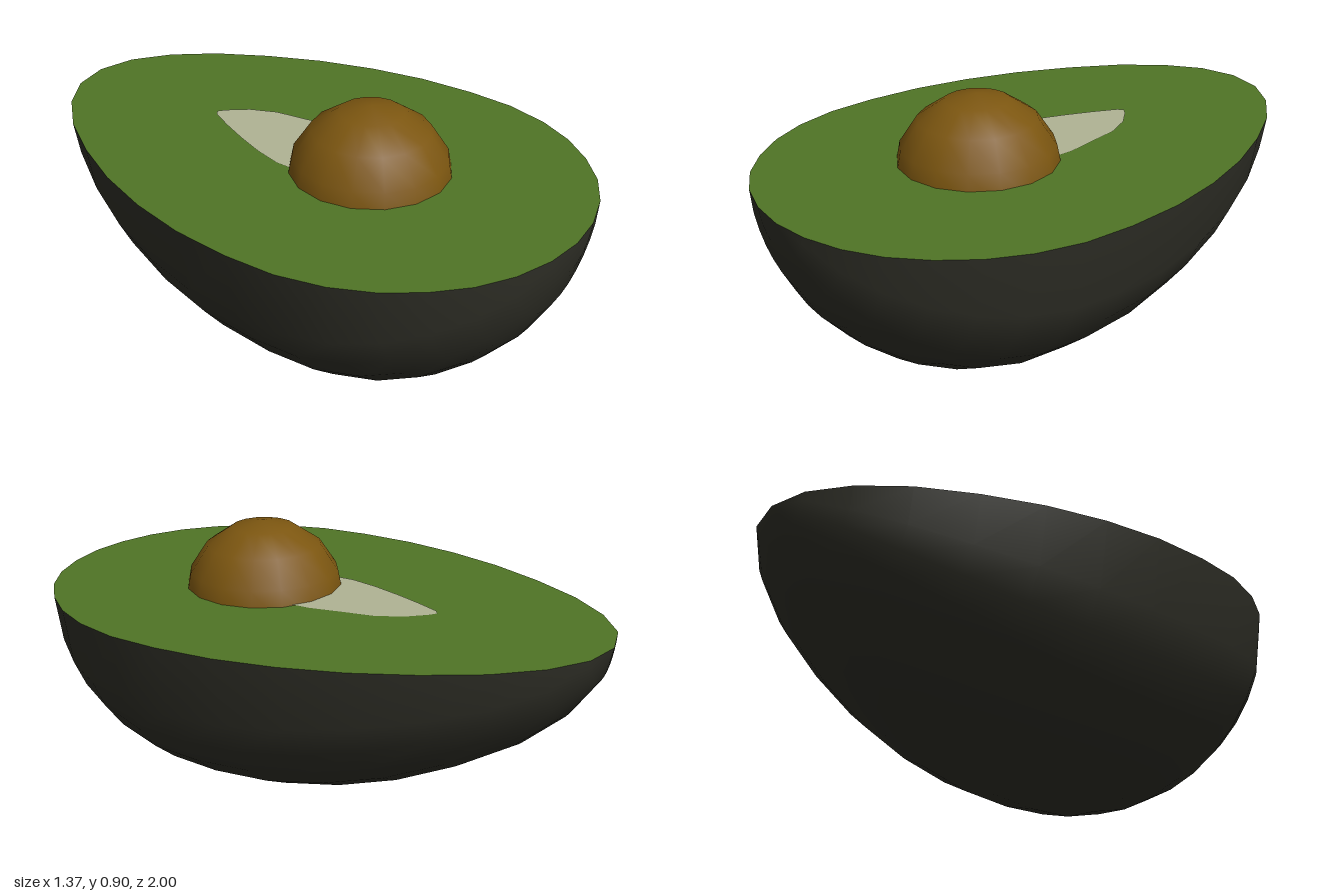
import * as THREE from 'three';
import { mergeVertices } from 'three/addons/utils/BufferGeometryUtils.js';

const CUT = 0.675; // height of the flat cut face
const AXIS = 0.7; // height of the fruit's long axis

// [z, radius] along the long axis, stem end to round end
const PROFILE = [
  [-1, 0], [-0.97, 0.137], [-0.882, 0.266], [-0.748, 0.385], [-0.575, 0.49],
  [-0.384, 0.58], [-0.185, 0.645], [0.015, 0.685], [0.215, 0.697], [0.39, 0.687],
  [0.545, 0.645], [0.673, 0.58], [0.783, 0.492], [0.875, 0.388], [0.942, 0.268],
  [0.983, 0.135], [0.997, 0],
];
const RIM = 0.983; // rim half-width relative to the profile radius

const material = (name, color) => {
  const m = new THREE.MeshStandardMaterial({ color });
  m.name = name;
  return m;
};

// Half body of revolution, closed off level with the cut
function skinGeometry() {
  const steps = 14;
  const last = PROFILE.length - 1;
  const positions = [];
  const index = [];
  PROFILE.forEach(([z, r], i) => {
    for (let j = 0; j <= steps; j++) {
      const a = (j - steps / 2) * Math.PI / 16;
      const rim = j === 0 || j === steps;
      const x = rim ? Math.sign(a) * r * RIM : r * Math.sin(a);
      const y = rim ? CUT : Math.min(CUT, AXIS - r * Math.cos(a));
      positions.push(x, y, z);
      if (i === last || j === steps) continue;
      // Each pole end needs only one triangle per cell
      const p = i * (steps + 1) + j;
      const q = p + steps + 1;
      if (i > 0) index.push(p, p + 1, q);
      if (i < last - 1) index.push(p + 1, q + 1, q);
    }
  });
  const g = new THREE.BufferGeometry();
  g.setAttribute('position', new THREE.Float32BufferAttribute(positions, 3));
  g.setIndex(index);
  const merged = mergeVertices(g);
  merged.computeVertexNormals();
  return merged;
}

// Flat horizontal face from [x, z] outline points
function flatFace(points, y) {
  const shape = new THREE.Shape(points.map(([x, z]) => new THREE.Vector2(x, -z)));
  return new THREE.ShapeGeometry(shape).rotateX(-Math.PI / 2).translate(0, y, 0);
}

export function createModel() {
  const group = new THREE.Group();
  group.name = 'halvedFruit';
  const add = (name, geometry, mat) => {
    const mesh = new THREE.Mesh(geometry, mat);
    mesh.name = name;
    group.add(mesh);
    return mesh;
  };

  // Dark outer skin
  add('skin', skinGeometry(), material('dark skin', 0x2e2e26));

  // Cut flesh: right rim, then the mirrored left rim
  const right = PROFILE.map(([z, r]) => [r * RIM, z]);
  const left = right.slice(1, -1).reverse().map(([x, z]) => [-x, z]);
  add('flesh', flatFace([...right, ...left], CUT), material('green flesh', 0x507526));

  // Pale streak running from the seed towards the stem
  add('streak', flatFace([
    [0, -0.412], [0.025, -0.393], [0.08, -0.33], [0.122, -0.24], [0.14, -0.13],
    [0.16, -0.02], [0.16, 0.1], [-0.165, 0.1], [-0.165, -0.01], [-0.14, -0.11],
    [-0.1, -0.22], [-0.06, -0.315], [-0.02, -0.398],
  ], CUT + 0.003), material('pale streak', 0xb0b394));

  // Round seed, half sunk in the flesh
  const seed = add('seed', new THREE.SphereGeometry(0.28, 16, 8), material('brown seed', 0x7c5610));
  seed.position.set(0, 0.62, 0.25);

  return group;
}
